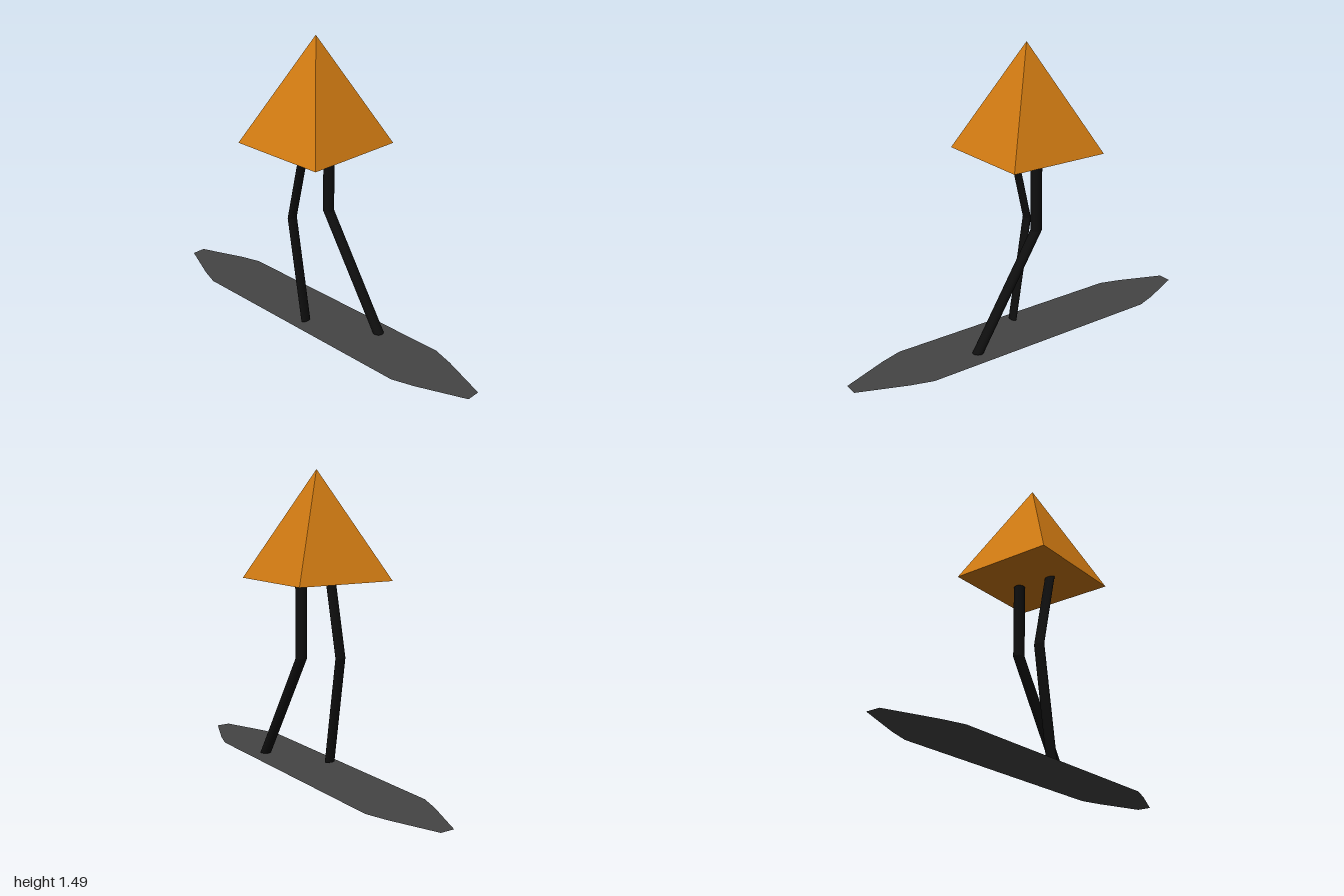
import * as THREE from 'three';

const black = new THREE.MeshStandardMaterial({ color: 0x0e0e0e });
const grey = new THREE.MeshStandardMaterial({ color: 0x444444, side: THREE.DoubleSide });
const orange = new THREE.MeshStandardMaterial({ color: 0xd07a12, flatShading: true });

// Tube with level ends, leaning from [y, z] at the top to [y, z] at the bottom
function legSegment(name, x, radiusX, radiusZ, [topY, topZ], [bottomY, bottomZ]) {
  const height = topY - bottomY;
  const geometry = new THREE.CylinderGeometry(1, 1, 1, 20);
  const lean = new THREE.Matrix4().set(
    radiusX, 0, 0, x,
    0, height, 0, (topY + bottomY) / 2,
    0, topZ - bottomZ, radiusZ, (topZ + bottomZ) / 2,
    0, 0, 0, 1
  );
  geometry.applyMatrix4(lean);
  const mesh = new THREE.Mesh(geometry, black);
  mesh.name = name;
  return mesh;
}

// Leg bent at the knee
function leg(name, x, radiusX, radiusZ, hip, knee, foot) {
  const group = new THREE.Group();
  group.name = name;
  group.add(
    legSegment('thigh', x, radiusX, radiusZ, hip, knee),
    legSegment('shin', x, radiusX, radiusZ, knee, foot)
  );
  return group;
}

export function createModel() {
  const model = new THREE.Group();
  model.name = 'boardRider';

  // Flat board with tapered ends
  const quarter = [[0.168, 0.655], [0.133, 0.765], [0.036, 1]];
  const back = [...quarter].reverse();
  const outline = [
    ...quarter,
    ...back.map(([x, z]) => [-x, z]),
    ...quarter.map(([x, z]) => [-x, -z]),
    ...back.map(([x, z]) => [x, -z]),
  ].map(([x, z]) => new THREE.Vector2(x + 0.004, z));
  const boardGeometry = new THREE.ShapeGeometry(new THREE.Shape(outline));
  boardGeometry.rotateX(-Math.PI / 2);
  const board = new THREE.Mesh(boardGeometry, grey);
  board.name = 'board';
  model.add(board);

  // Striding front leg and slimmer trailing leg
  model.add(
    leg('leftLeg', 0.085, 0.028, 0.028, [0.95, 0], [0.57, 0], [0.008, 0.354]),
    leg('rightLeg', -0.095, 0.028, 0.015, [0.956, 0.013], [0.565, -0.077], [0.012, 0.016])
  );

  // Four-sided pyramid body
  const half = 0.264;
  const bodyGeometry = new THREE.ConeGeometry(half * Math.SQRT2, 0.53, 4);
  bodyGeometry.rotateY(Math.PI / 4);
  const body = new THREE.Mesh(bodyGeometry, orange);
  body.name = 'pyramidBody';
  body.position.set(-0.001, 1.22, -0.005);
  model.add(body);

  return model;
}
